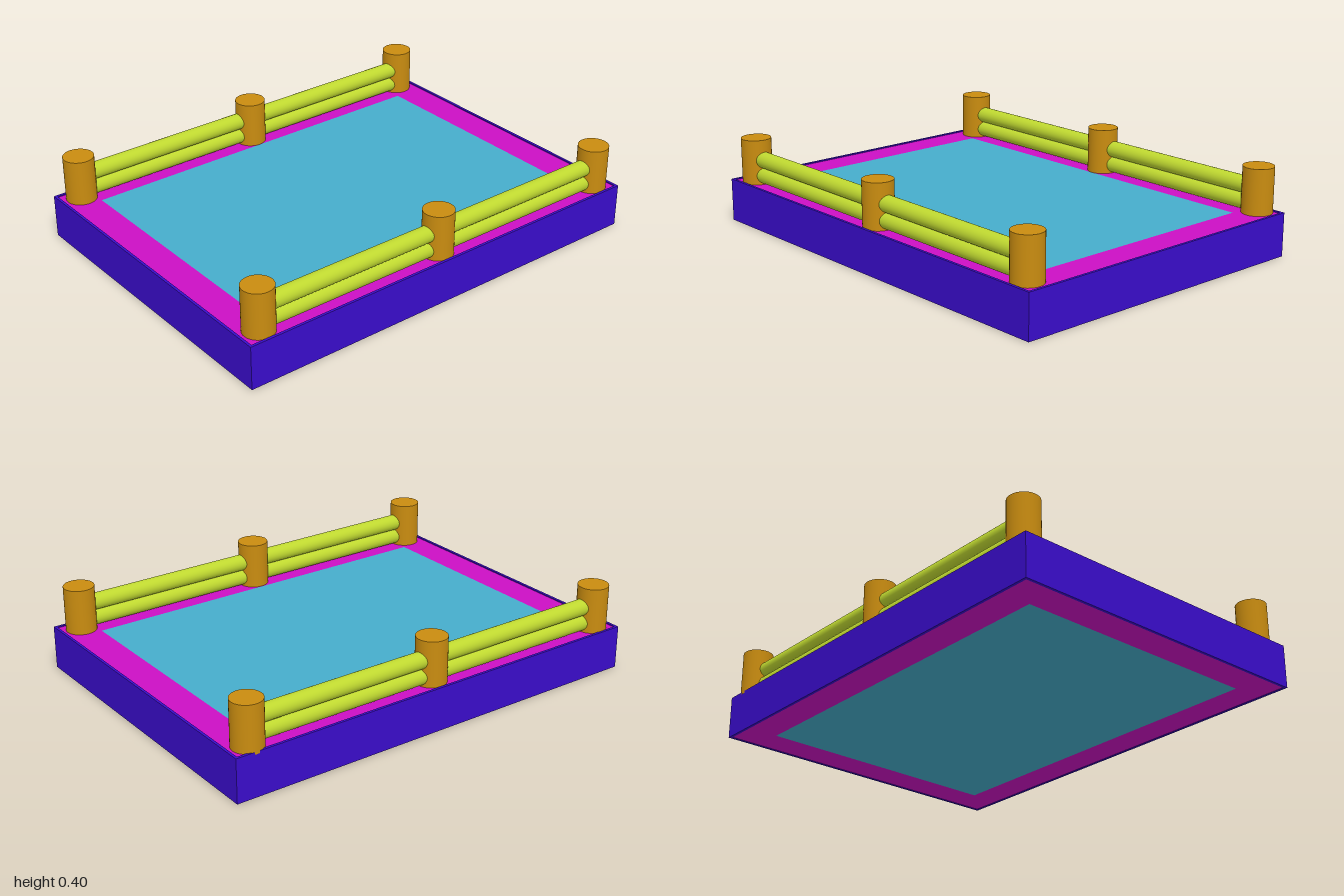
import * as THREE from 'three';

const material = (color) => new THREE.MeshStandardMaterial({ color });

export function createModel() {
  const model = new THREE.Group();
  const blue = material(0x3a0ccb);
  const magenta = material(0xcc10c4);
  const cyan = material(0x46adcb);
  const orange = material(0xc98c10);
  const lime = material(0xbfd830);

  const add = (name, geometry, mat, x, y, z) => {
    const mesh = new THREE.Mesh(geometry, mat);
    mesh.name = name;
    mesh.position.set(x, y, z);
    model.add(mesh);
    return mesh;
  };

  const W = 1, D = 0.735, H = 0.195, T = 0.012; // half width, half depth, height, wall thickness
  const low = 0.002, slab = 0.19;

  // Rectangular frame around the floor
  const rect = (Path, x0, x1, z) => new Path([
    new THREE.Vector2(x0, -z), new THREE.Vector2(x1, -z),
    new THREE.Vector2(x1, z), new THREE.Vector2(x0, z),
  ]);
  const border = rect(THREE.Shape, -W + T, W - T, D - T);
  border.holes.push(rect(THREE.Path, -0.85, 0.845, 0.583));
  const frame = new THREE.ExtrudeGeometry(border, { depth: slab - low, bevelEnabled: false });
  frame.rotateX(-Math.PI / 2);
  add('frame', frame, magenta, 0, low, 0);

  // Floor panel filling the frame
  add('floor', new THREE.BoxGeometry(1.695, slab - low, 1.166), cyan, -0.0025, (slab + low) / 2, 0);

  // Thin boards round the outside
  for (const s of [-1, 1]) {
    add('sideBoard', new THREE.BoxGeometry(T, H, 2 * D), blue, s * (W - T / 2), H / 2, 0);
    add(s > 0 ? 'frontBoard' : 'backBoard',
      new THREE.BoxGeometry(2 * (W - T), H, T), blue, 0, H / 2, s * (D - T / 2));
  }

  // Round posts, three along the front and three along the back
  const postGeometry = new THREE.CylinderGeometry(0.068, 0.068, 0.21, 40);
  const posts = [
    [-0.905, 0.655], [0, 0.655], [0.905, 0.655],
    [-0.905, -0.658], [0, -0.652], [0.905, -0.668],
  ];
  for (const [x, z] of posts) add('post', postGeometry, orange, x, 0.29, z);

  // Two stacked rails between each pair of posts
  const railGeometry = new THREE.CylinderGeometry(0.037, 0.037, 0.83, 32);
  railGeometry.rotateZ(Math.PI / 2);
  for (const z of [0.657, -0.657])
    for (const x of [-0.4525, 0.4525])
      for (const y of [0.231, 0.302]) add('rail', railGeometry, lime, x, y, z);

  return model;
}
